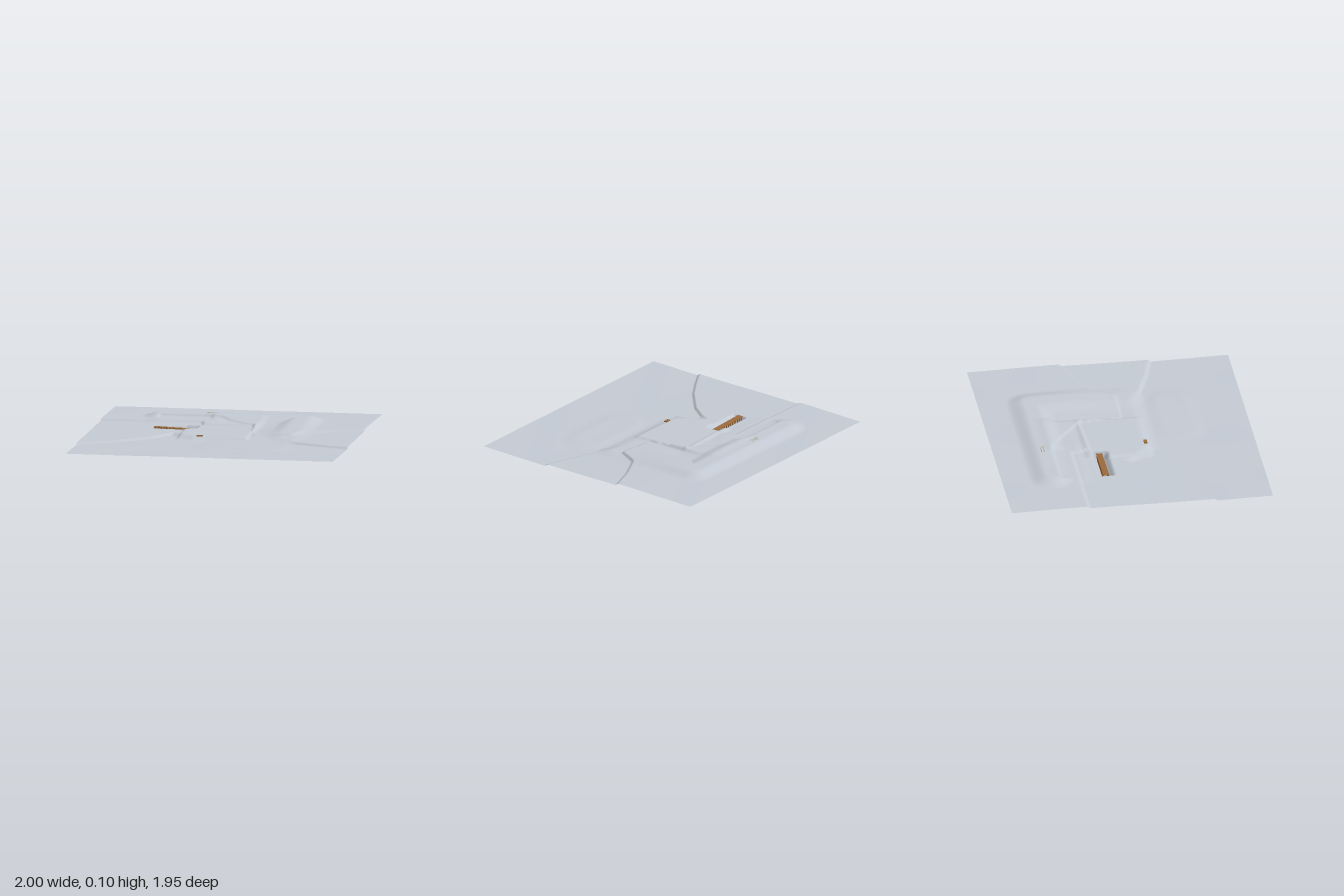
import * as THREE from 'three';

const smooth = (a, b, v) => {
  const t = Math.min(1, Math.max(0, (v - a) / (b - a)));
  return t * t * (3 - 2 * t);
};
// soft box mask: 1 inside, fading over f outside
const band = (a, b, f, v) => smooth(a - f, a, v) * (1 - smooth(b, b + f, v));
// piecewise linear line z(x)
const lineZ = (pts, x) => {
  for (let i = 1; i < pts.length; i++) {
    const [x0, z0] = pts[i - 1], [x1, z1] = pts[i];
    if (x <= x1) return z0 + (z1 - z0) * Math.max(0, (x - x0) / (x1 - x0));
  }
  return pts[pts.length - 1][1];
};
const segmentDistance = (x, z, ax, az, bx, bz) => {
  const dx = bx - ax, dz = bz - az;
  const t = Math.min(1, Math.max(0, ((x - ax) * dx + (z - az) * dz) / (dx * dx + dz * dz)));
  return Math.hypot(x - ax - t * dx, z - az - t * dz);
};

// terrace edges; the ground behind each one is higher
const LOWER = [[-1, 0.55], [-0.85, 0.46], [-0.7, 0.36], [-0.5, 0.18], [-0.43, 0.08], [-0.38, 0], [-0.3, 0.12],
  [-0.2, 0.2], [0.2, 0.2], [0.45, 0.2], [0.6, 0.25], [0.8, 0.33], [1, 0.39]];
const UPPER = [[-1, -0.4], [-0.24, -0.4], [-0.2, -0.26], [0, -0.27], [0.17, -0.28], [0.22, 0.05],
  [0.52, 0.05], [0.6, -0.11], [0.8, -0.21], [1, -0.28]];
const INNER = [[-0.6, -0.54], [-0.2, -0.54], [-0.12, -0.51], [0, -0.43], [0.1, -0.34], [0.18, -0.27]];

function height(x, z) {
  const edge = (pts, w = 0.012) => smooth(-w, w, lineZ(pts, x) - z);
  // terraced slope
  const softLower = 0.012 + 0.05 * band(-0.35, 0.5, 0.08, x);
  let y = 0.016 + 0.016 * edge(LOWER, softLower) + 0.015 * edge(UPPER) + 0.016 * smooth(0.5, -0.5, z);
  y += 0.0008 * Math.sin(7 * x + 3 * z) * Math.cos(6 * z - 2 * x);
  // raised bank along the back and right
  const d = Math.min(segmentDistance(x, z, -0.56, -0.6, 0.48, -0.6), segmentDistance(x, z, 0.48, -0.6, 0.5, 0.1));
  const bank = (0.011 + 0.02 * smooth(0.05, -0.55, z)) * (1 - smooth(0.04, 0.17, d));
  const cut = band(-0.57, -0.2, 0.04, x) * (1 - edge(INNER));
  y += bank * (1 - 0.55 * cut);
  // inner curved scarp, blending into the courtyard
  y += 0.009 * band(-0.2, 0.18, 0.06, x) * edge(INNER) * smooth(-0.62, -0.5, z);
  // tongue between the two rear terraces
  y += 0.005 * (1 - smooth(0.03, 0.12, segmentDistance(x, z, -0.56, -0.4, -0.16, -0.4)));
  // central platform and the sunken yard beside it
  y += 0.011 * band(-0.3, 0.19, 0.03, x) * band(-0.27, 0.16, 0.05, z);
  y -= 0.012 * smooth(0.19, 0.215, x) * (1 - smooth(0.22, 0.42, x)) * smooth(-0.5, -0.25, z) * (1 - smooth(0.03, 0.07, z));
  // front outwork
  y += 0.006 * (1 - smooth(0.1, 0.22, segmentDistance(x, z, 0.05, 0.44, 0.4, 0.44))) * smooth(0.2, 0.35, z);
  // pit below the bridge
  const pit = band(-0.555, -0.245, 0.012, x) * smooth(-0.255, -0.225, z) * (1 - smooth(-0.175, -0.125, z));
  return y + (0.001 - y) * pit;
}

export function createModel() {
  const model = new THREE.Group();
  const ground = new THREE.MeshStandardMaterial({ color: 0xc3c9d2, side: THREE.DoubleSide });
  ground.name = 'ground';
  const wood = new THREE.MeshStandardMaterial({ color: 0x9a6b3c });
  wood.name = 'wood';
  const tan = new THREE.MeshStandardMaterial({ color: 0xb8a88a });
  tan.name = 'paleWood';

  // terrain sheet
  const sheet = new THREE.PlaneGeometry(2, 1.95, 220, 216).rotateX(-Math.PI / 2);
  const p = sheet.attributes.position;
  for (let i = 0; i < p.count; i++) p.setY(i, height(p.getX(i), p.getZ(i)));
  sheet.computeVertexNormals();
  const terrain = new THREE.Mesh(sheet, ground);
  terrain.name = 'terrain';
  model.add(terrain);

  const box = (parent, name, mat, w, h, d, x, y, z) => {
    const m = new THREE.Mesh(new THREE.BoxGeometry(w, h, d), mat);
    m.position.set(x, y, z);
    m.name = name;
    parent.add(m);
    return m;
  };

  // sloping bridge on rows of posts
  const bridge = new THREE.Group();
  bridge.name = 'bridge';
  const slope = -0.012 / 0.32;
  box(bridge, 'deck', wood, 0.325, 0.005, 0.045, -0.4, 0.04, -0.197).rotation.z = Math.atan(slope);
  for (let i = 0; i < 15; i++) {
    const x = -0.55 + i * 0.0215;
    const top = 0.038 + slope * (x + 0.4);
    for (const z of [-0.215, -0.179]) box(bridge, 'post', wood, 0.007, top, 0.007, x, top / 2, z);
  }
  model.add(bridge);

  // small footbridge on the front platform
  box(model, 'footbridge', wood, 0.042, 0.008, 0.025, -0.15, height(-0.15, 0.165) + 0.004, 0.165);

  // tiny stakes on the rear bank
  const stakes = new THREE.Group();
  stakes.name = 'stakes';
  for (let i = 0; i < 5; i++) {
    for (const z of [-0.625, -0.605]) {
      const x = -0.237 + i * 0.017;
      box(stakes, 'stake', tan, 0.005, 0.006, 0.007, x, height(x, z), z);
    }
  }
  model.add(stakes);
  return model;
}
